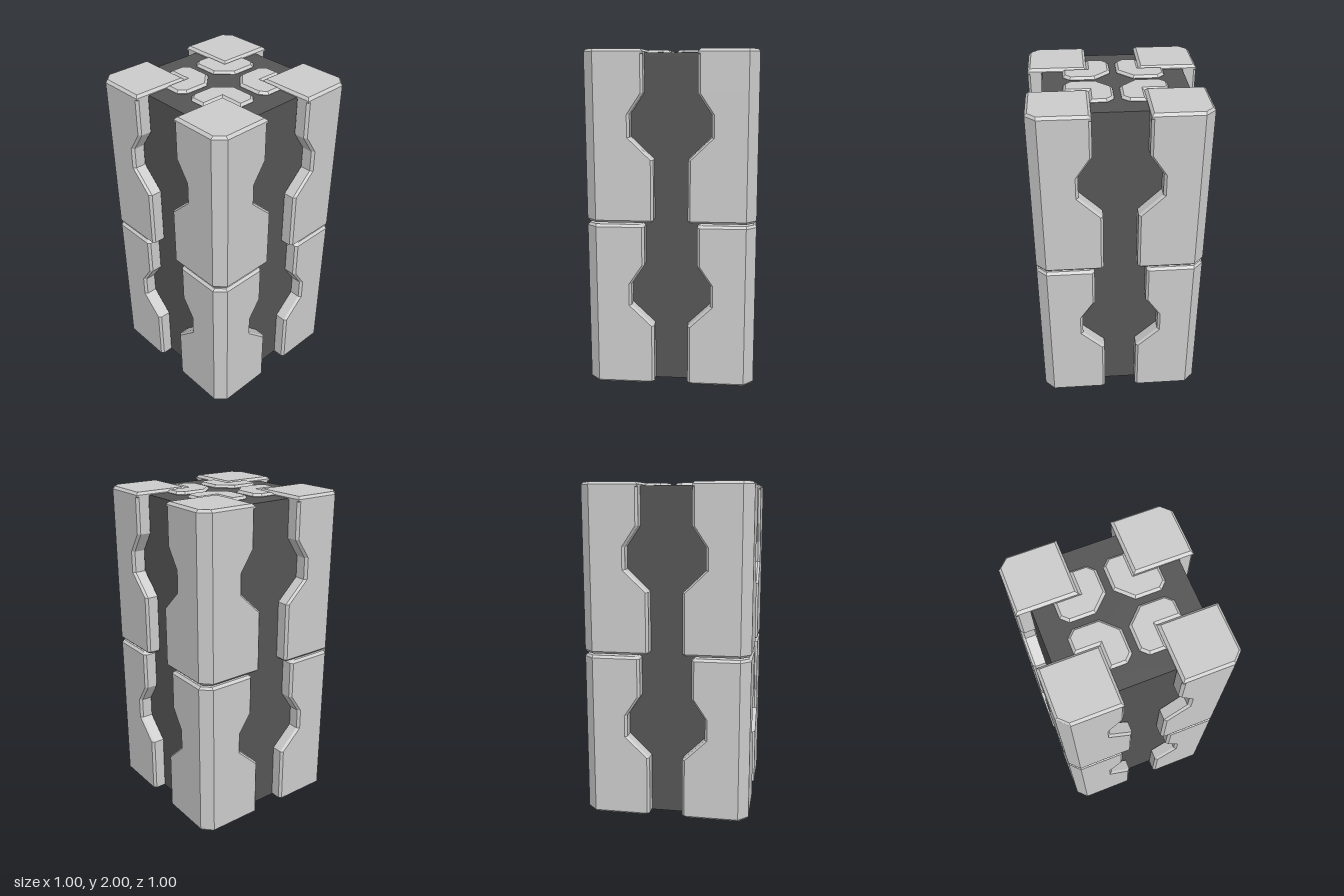
import * as THREE from 'three';

const grey = new THREE.MeshStandardMaterial({ color: 0xcccccc, flatShading: true });
const dark = new THREE.MeshStandardMaterial({ color: 0x555555, flatShading: true, side: THREE.DoubleSide });
const B = 0.015; // bevel width
const CORE = 0.415; // half width of the core

// Horizontal section of a corner guard; t is where its two arms end
function guardSection(t, inset) {
  const o = 0.5 - inset, a = t + inset, n = 0.42;
  return [[a, n], [a, o - B], [a + B, o], [0.44, o], [o, 0.44],
    [o, a + B], [o - B, a], [n, a], [n, 0.25], [0.25, n]];
}

// Corner guard lofted through its sections, closed at both ends
function guardGeometry() {
  const levels = [[0, 0.1, B], [B, 0.1, 0], [0.37, 0.1, 0], [0.5, 0.235, 0],
    [0.63, 0.235, 0], [0.75, 0.155, 0], [0.98, 0.155, 0], [0.995, 0.155, B]];
  const rings = levels.map(([y, t, inset]) =>
    guardSection(t, inset).map(([x, z]) => new THREE.Vector3(x, y, z)));
  const points = [];
  for (let r = 0; r < rings.length - 1; r++) {
    const low = rings[r], high = rings[r + 1];
    for (let i = 0; i < 10; i++) {
      const j = (i + 1) % 10;
      points.push(low[i], low[j], high[j], low[i], high[j], high[i]);
    }
  }
  const cap = [[0, 1, 2], [0, 2, 3], [0, 3, 9], [3, 4, 8], [3, 8, 9], [4, 5, 7], [4, 7, 8], [5, 6, 7]];
  const top = rings[rings.length - 1], bottom = rings[0];
  for (const [a, b, c] of cap) points.push(top[a], top[b], top[c], bottom[a], bottom[c], bottom[b]);
  const geometry = new THREE.BufferGeometry().setFromPoints(points);
  geometry.computeVertexNormals();
  return geometry;
}

// Flat slab with bevelled edges from an outline of [x, z] points
function slab(outline, y0, y1, bevel) {
  const shape = new THREE.Shape(outline.map(([x, z]) => new THREE.Vector2(x, -z)));
  const geometry = new THREE.ExtrudeGeometry(shape, {
    depth: y1 - y0 - 2 * bevel, bevelEnabled: bevel > 0, bevelThickness: bevel,
    bevelSize: bevel, bevelOffset: -bevel, bevelSegments: 1,
  });
  return geometry.rotateX(-Math.PI / 2).translate(0, y0 + bevel, 0);
}

function addMesh(parent, name, geometry, material) {
  const mesh = new THREE.Mesh(geometry, material);
  mesh.name = name;
  parent.add(mesh);
  return mesh;
}

export function createModel() {
  const model = new THREE.Group();
  model.name = 'pillar';

  // Dark core: top plate and four side panels, open underneath
  const core = new THREE.Group();
  core.name = 'core';
  model.add(core);
  const c = CORE, k = 0.25;
  addMesh(core, 'coreTop', slab([[k, c], [c, k], [c, -k], [k, -c],
    [-k, -c], [-c, -k], [-c, k], [-k, c]], 1.96, 1.98, 0), dark);
  const panel = new THREE.PlaneGeometry(0.52, 1.975).translate(0, 0.9925, c);

  const guard = guardGeometry();
  const cap = slab([[0.155, 0.155], [0.155, 0.5], [0.44, 0.5], [0.5, 0.44], [0.5, 0.155]], 1.96, 2, B);
  const pad = slab([[0.02, 0.11], [0.11, 0.02], [0.255, 0.02], [0.295, 0.06], [0.295, 0.155],
    [0.155, 0.155], [0.155, 0.295], [0.06, 0.295], [0.02, 0.255]], 1.97, 1.998, 0.014);

  // Each quarter turn repeats a side panel, two stacked guards, a cap and a pad
  for (let i = 0; i < 4; i++) {
    const quarter = new THREE.Group();
    quarter.name = 'quarter' + (i + 1);
    quarter.rotation.y = i * Math.PI / 2;
    addMesh(quarter, 'corePanel', panel, dark);
    addMesh(quarter, 'lowerGuard', guard, grey);
    addMesh(quarter, 'upperGuard', guard, grey).position.y = 1.005;
    addMesh(quarter, 'cornerCap', cap, grey);
    addMesh(quarter, 'topPad', pad, grey);
    model.add(quarter);
  }
  return model;
}
